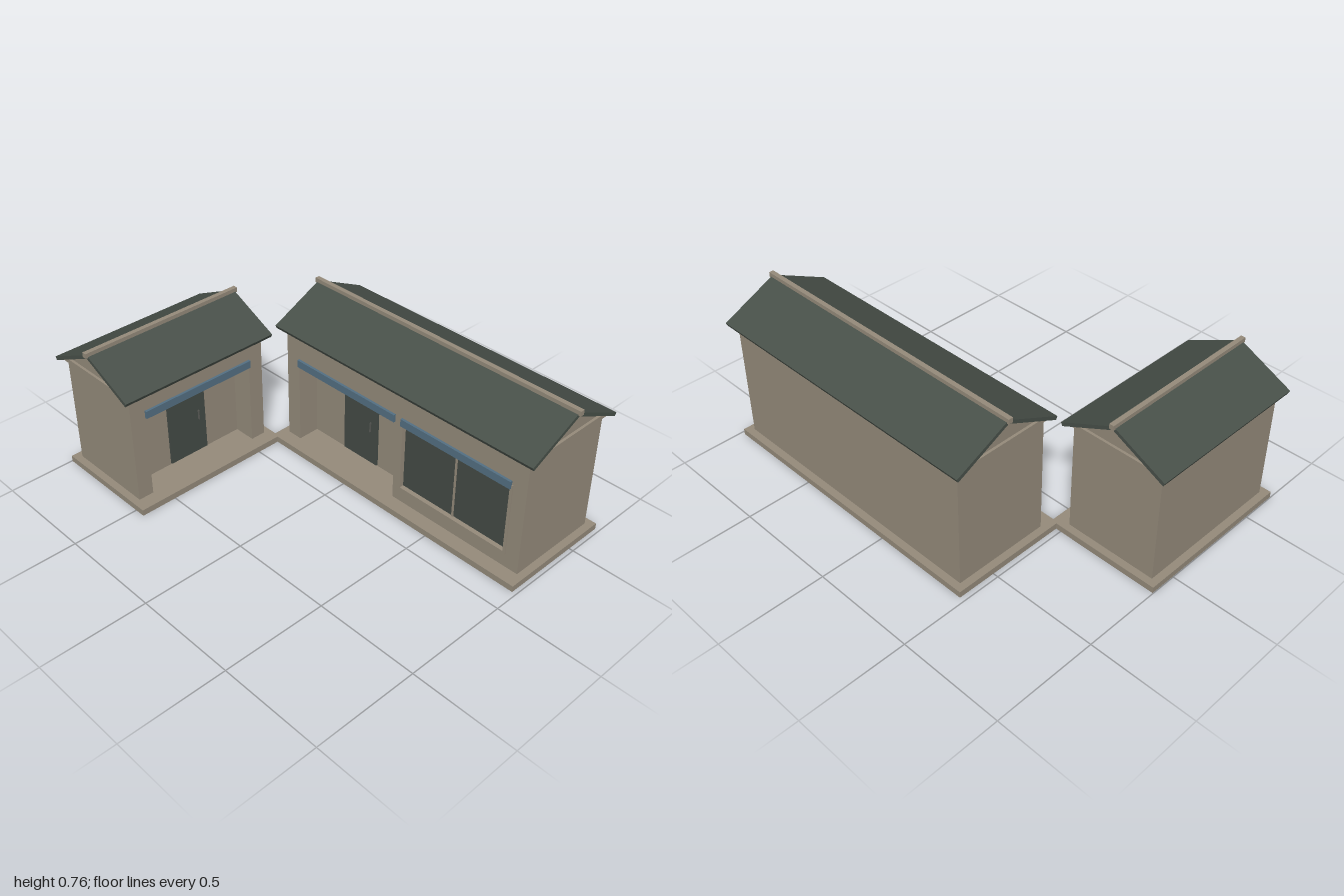
import * as THREE from 'three';

const mat = (name, color) => {
  const m = new THREE.MeshStandardMaterial({ color });
  m.name = name;
  return m;
};

export function createModel() {
  const stone = mat('stone', 0x958b7b);
  const tile = mat('roofTile', 0x485049);
  const glass = mat('darkGlass', 0x444b46);
  const blue = mat('blueLintel', 0x547083);
  const metal = mat('handleMetal', 0x5a5b57);

  const add = (parent, name, geo, material, x = 0, y = 0, z = 0) => {
    const m = new THREE.Mesh(geo, material);
    m.name = name;
    m.position.set(x, y, z);
    parent.add(m);
    return m;
  };

  // Box given by its minimum and maximum corners
  const box = (parent, name, material, a, b) => add(parent, name,
    new THREE.BoxGeometry(b[0] - a[0], b[1] - a[1], b[2] - a[2]), material,
    (a[0] + b[0]) / 2, (a[1] + b[1]) / 2, (a[2] + b[2]) / 2);

  const shapeOf = pts => new THREE.Shape(pts.map(p => new THREE.Vector2(p[0], p[1])));

  // Cross-section swept along the x axis, centred
  const sweepX = (pts, length) => {
    const g = new THREE.ExtrudeGeometry(shapeOf(pts), { depth: length, bevelEnabled: false });
    return g.translate(0, 0, -length / 2).rotateY(Math.PI / 2);
  };

  const BASE = 0.03, TOP = 0.455, RECESS = 0.11;

  // House facing local +z, with a recessed porch and optionally a window
  function house(name, { w, d, eave, porch, doorX, win }) {
    const g = new THREE.Group();
    g.name = name;
    const hw = w / 2, hd = d / 2;
    const [p0, p1] = porch;

    box(g, 'foundation', stone, [-hw - 0.035, 0, -hd - 0.035], [hw + 0.035, BASE, hd + 0.07]);
    box(g, 'rearWalls', stone, [-hw, BASE, -hd], [hw, eave, hd - RECESS]);

    // Front wall with porch notch and window hole
    const wall = shapeOf([[-hw, BASE], [p0, BASE], [p0, TOP], [p1, TOP], [p1, BASE],
      [hw, BASE], [hw, eave], [-hw, eave]]);
    if (win) {
      const [a, b] = win;
      wall.holes.push(new THREE.Path([[a, 0.1], [a, TOP], [b, TOP], [b, 0.1]]
        .map(p => new THREE.Vector2(p[0], p[1]))));
    }
    add(g, 'frontWall', new THREE.ExtrudeGeometry(wall, { depth: RECESS, bevelEnabled: false }),
      stone, 0, 0, hd - RECESS);

    // Door and handle
    const zb = hd - RECESS;
    box(g, 'door', glass, [doorX - 0.104, 0.037, zb - 0.005], [doorX + 0.104, 0.445, zb + 0.01]);
    box(g, 'doorHandle', metal, [doorX + 0.062, 0.21, zb + 0.01], [doorX + 0.066, 0.26, zb + 0.018]);
    box(g, 'porchLintel', blue, [p0, 0.438, hd - 0.02], [p1, 0.475, hd + 0.012]);

    // Two-pane window
    if (win) {
      const [a, b] = win, mid = (a + b) / 2;
      const f = hd + 0.004;
      box(g, 'windowGlass', glass, [a, 0.1, hd - 0.04], [b, TOP, hd - 0.018]);
      box(g, 'windowMullion', stone, [mid - 0.004, 0.1, hd - 0.02], [mid + 0.004, TOP, hd - 0.012]);
      box(g, 'windowSill', stone, [a - 0.006, 0.095, hd - 0.02], [b + 0.006, 0.107, f]);
      for (const x of [a, b]) {
        box(g, 'windowJamb', stone, [x - 0.007, 0.095, hd - 0.02], [x + 0.007, TOP, f]);
      }
      box(g, 'windowLintel', blue, [a, 0.438, hd - 0.02], [b, 0.475, hd + 0.012]);
    }

    // Ceiling plate, gables and tiled roof
    box(g, 'eavePlate', stone, [-hw - 0.012, eave, -hd - 0.02], [hw + 0.012, eave + 0.02, hd + 0.02]);
    add(g, 'gables', sweepX([[-hd, eave], [hd, eave], [0, eave + 0.115]], w), stone);
    const h = hd + 0.037, e = eave + 0.018, apex = e + h * 0.48;
    add(g, 'roof', sweepX([[h, e], [0, apex], [-h, e], [-h + 0.007, e - 0.016],
      [0, apex - 0.018], [h - 0.007, e - 0.016]], w + 0.075), tile);
    box(g, 'ridge', stone, [-hw - 0.048, apex - 0.01, -0.011], [hw + 0.048, apex + 0.013, 0.011]);
    return g;
  }

  const model = new THREE.Group();
  model.name = 'courtyardHouses';

  const main = house('mainHouse', {
    w: 1.385, d: 0.465, eave: 0.6, porch: [-0.615, -0.013], doorX: -0.315, win: [0.025, 0.617],
  });
  main.position.set(0.2525, 0, -0.419);

  const side = house('sideHouse', {
    w: 0.735, d: 0.445, eave: 0.56, porch: [-0.2925, 0.2925], doorX: -0.0025,
  });
  side.position.set(-0.74, 0, 0.275);
  side.rotation.y = Math.PI / 2;

  model.add(main, side);
  return model;
}
